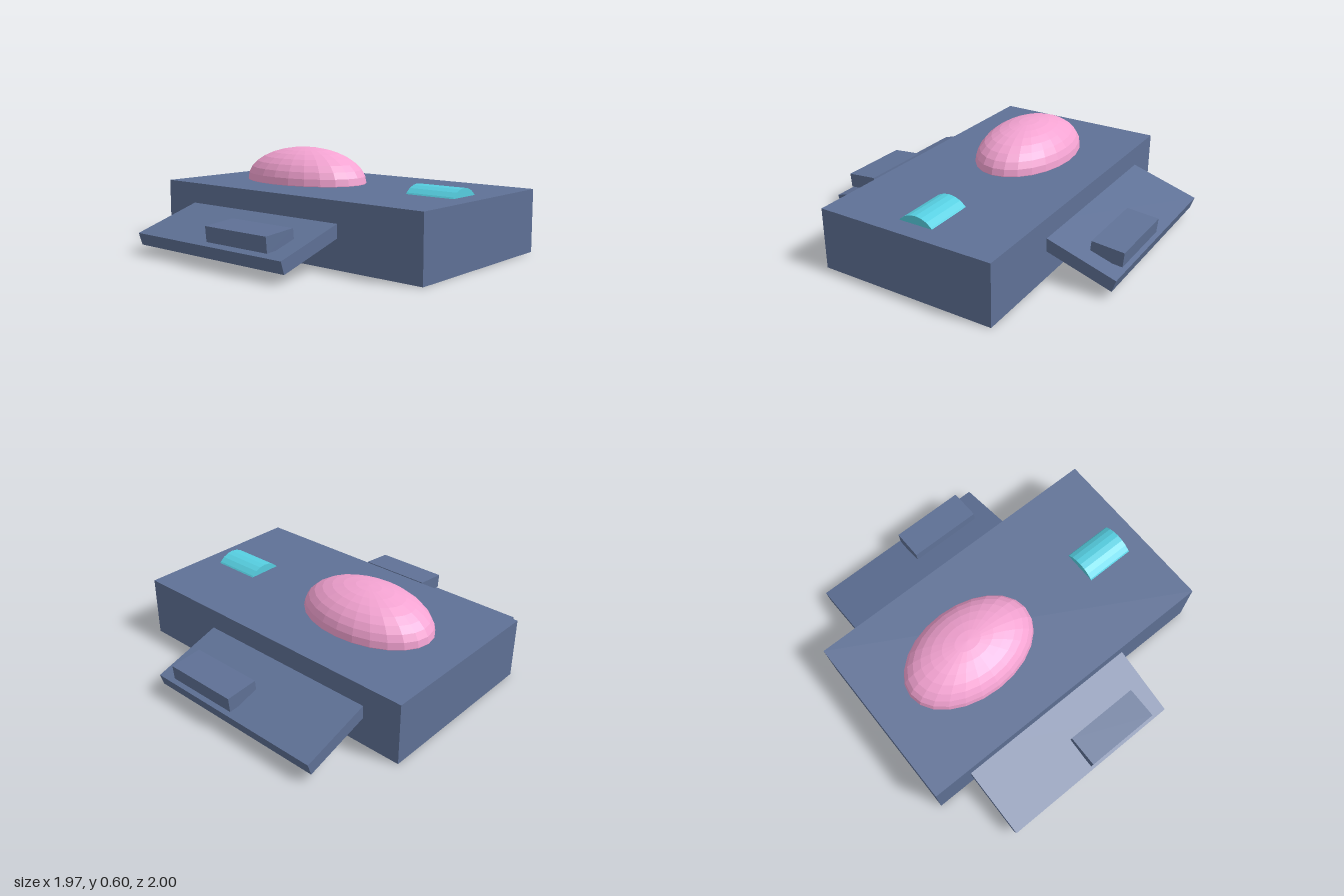
import * as THREE from 'three';

const paint = (color) => new THREE.MeshStandardMaterial({ color, flatShading: true });

export function createModel() {
  const model = new THREE.Group();
  const blue = paint(0x5f7196);
  const pink = paint(0xf4a3d2);
  const cyan = paint(0x56cfe1);

  const add = (name, geometry, material, x, y, z) => {
    const mesh = new THREE.Mesh(geometry, material);
    mesh.name = name;
    mesh.position.set(x, y, z);
    model.add(mesh);
    return mesh;
  };

  // main slab
  add('body', new THREE.BoxGeometry(1.12, 0.38, 2), blue, 0, 0.19, 0);

  // long dome, lower half sunk in the body
  const dome = add('dome', new THREE.SphereGeometry(1, 24, 16), pink, 0, 0.383, -0.32);
  dome.scale.set(0.292, 0.213, 0.443);

  // half-sunk round bar near the front
  const barGeometry = new THREE.CylinderGeometry(0.146, 0.146, 0.315, 24);
  barGeometry.rotateX(Math.PI / 2);
  add('frontBar', barGeometry, cyan, 0, 0.285, 0.717);

  // drooping side wings, each with a pod resting on the outer end
  const wingGeometry = new THREE.BoxGeometry(0.6, 0.077, 1.19);
  const podGeometry = new THREE.BoxGeometry(0.2, 0.09, 0.475);
  for (const [side, s] of [['left', 1], ['right', -1]]) {
    add(side + 'Wing', wingGeometry, blue, s * 0.688, 0.174, -0.16).rotation.z = -s * 0.305;
    add(side + 'Pod', podGeometry, blue, s * 0.871, 0.194, 0.08).rotation.z = -s * 0.087;
  }
  return model;
}
